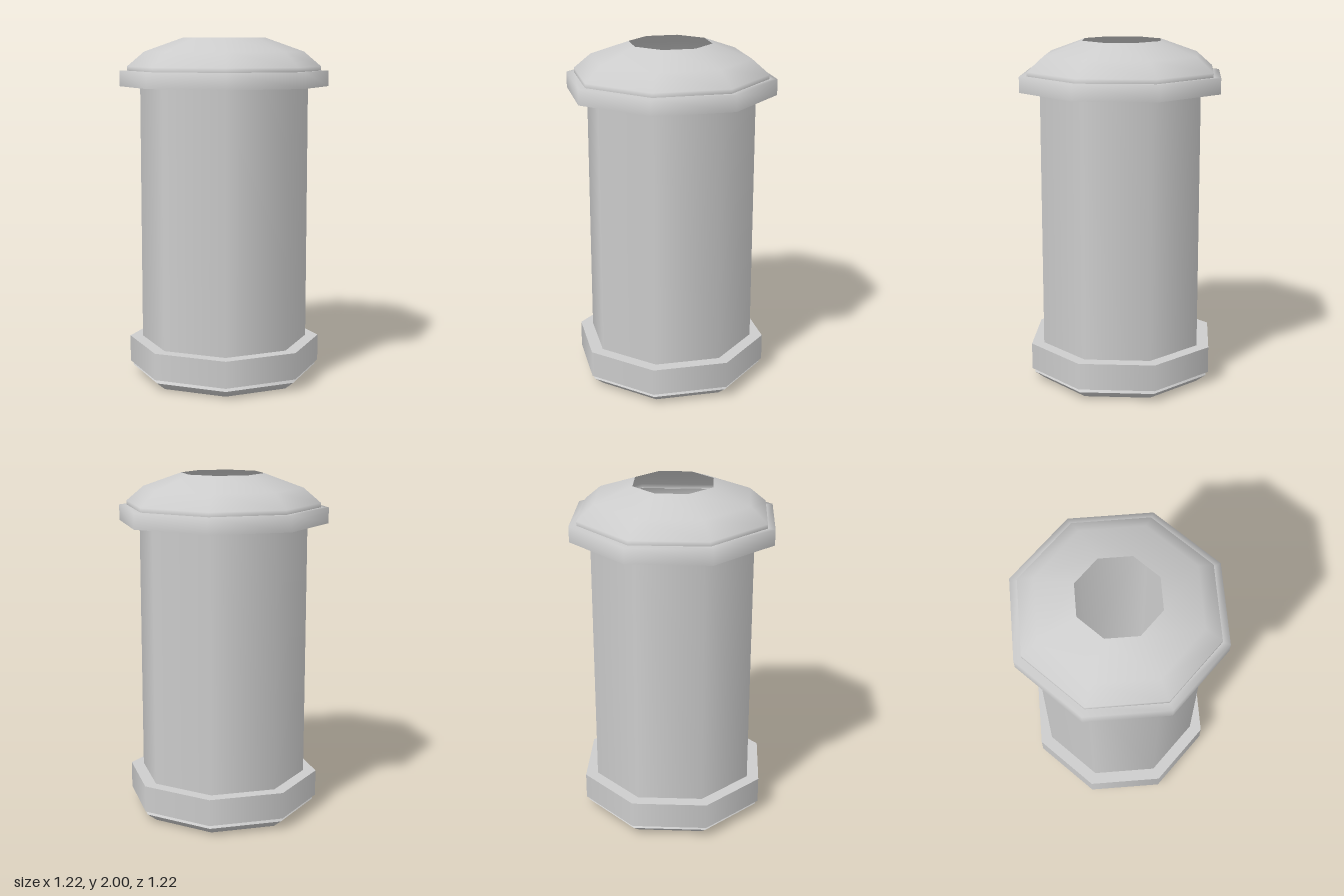
import * as THREE from 'three';

// Hollow eight-sided canister: thin turned shells, open at the top of the lid.
export function createModel() {
  const group = new THREE.Group();
  group.name = 'canister';

  const grey = new THREE.MeshStandardMaterial({ color: 0xcccccc, side: THREE.DoubleSide });
  grey.name = 'light grey';

  // Each profile is one smooth band [radius, height]; edges between bands stay sharp.
  const parts = {
    foot: [
      [[0, 0], [0.49, 0], [0.55, 0.047]],
      [[0.55, 0.047], [0.53, 0.07]],
    ],
    lowerCollar: [
      [[0.53, 0.07], [0.565, 0.07]],
      [[0.565, 0.07], [0.565, 0.225]],
      [[0.565, 0.225], [0.49, 0.225]],
    ],
    body: [
      [[0.49, 0.225], [0.49, 1.72]],
    ],
    upperCollar: [
      [[0.49, 1.72], [0.61, 1.72]],
      [[0.61, 1.72], [0.61, 1.81], [0.56, 1.81]],
    ],
    domedLid: [
      [[0.565, 1.81], [0.565, 1.835], [0.465, 1.92], [0.24, 2]],
    ],
  };

  for (const [name, bands] of Object.entries(parts)) {
    const part = new THREE.Group();
    part.name = name;
    bands.forEach((band, i) => {
      const points = band.map(([r, y]) => new THREE.Vector2(r, y));
      const mesh = new THREE.Mesh(new THREE.LatheGeometry(points, 8), grey);
      mesh.name = `${name}Band${i + 1}`;
      part.add(mesh);
    });
    group.add(part);
  }
  return group;
}
